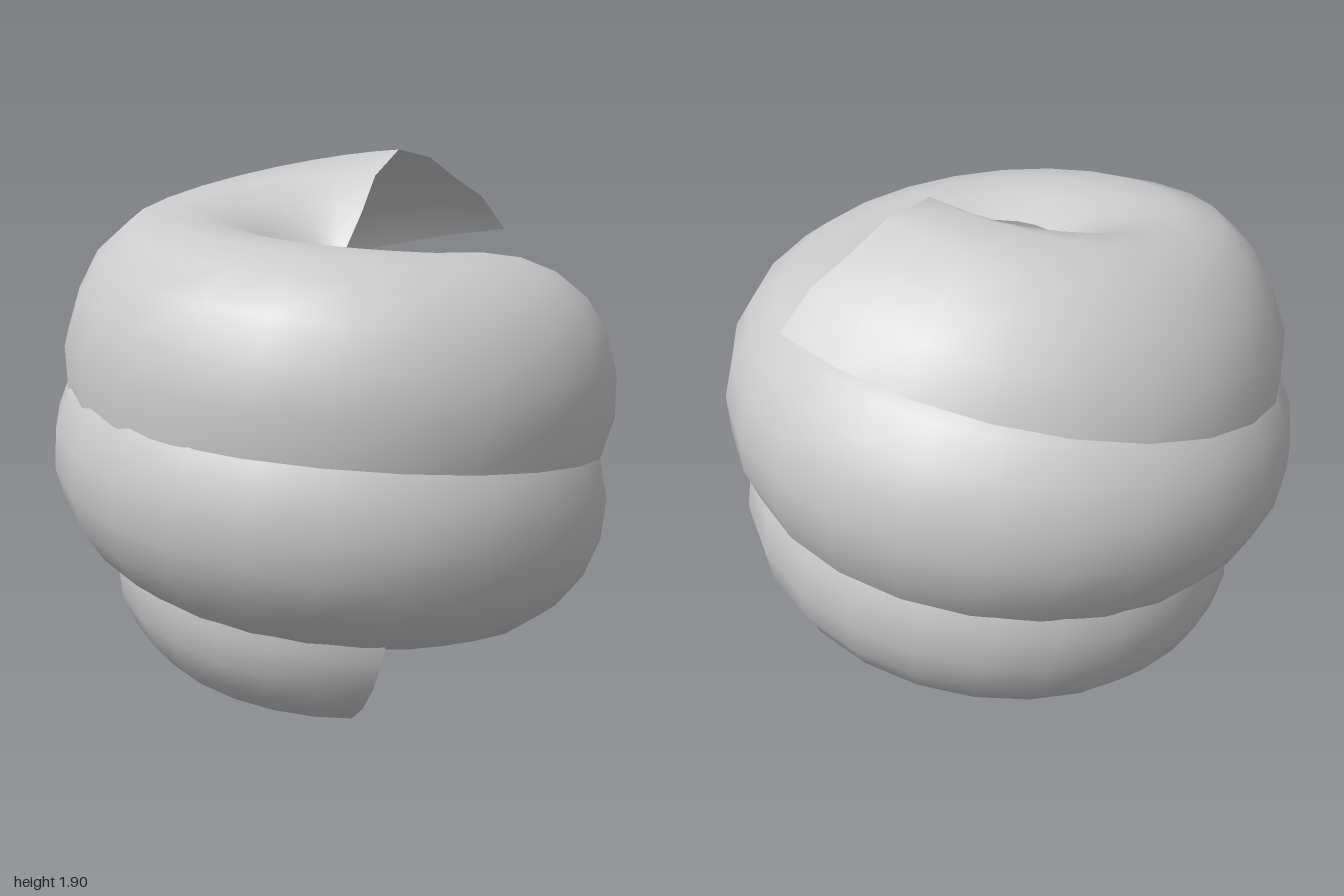
import * as THREE from 'three';

// Keyframes evenly spaced along the coil, from its bottom end to its top end
const centreRadius = [0.315, 0.395, 0.47, 0.52, 0.525, 0.52, 0.51, 0.487, 0.49];
const centreHeight = [0.385, 0.51, 0.645, 0.795, 0.945, 1.08, 1.19, 1.30, 1.435];
// Radius of the arc at its lower/outer edge and at its upper/inner edge
const radiusStart = [0.385, 0.42, 0.45, 0.47, 0.475, 0.485, 0.485, 0.467, 0.48];
const radiusEnd = [0.385, 0.415, 0.45, 0.465, 0.45, 0.43, 0.42, 0.43, 0.465];
// Arc limits in degrees: 0 is outward, 90 is up
const arcStart = [-131, -111, -92, -74, -55, -37, -24, -16, 18];
const arcEnd = [6, 26, 45, 65, 84, 101, 118, 144, 182];

const { degToRad, lerp } = THREE.MathUtils;
const START = degToRad(64.5), END = degToRad(1023.5), TILT = 0.19;
const STEPS = 64, ARC_STEPS = 8;

// Smooth reading of two keyframe lists at once
const track = (a, b) => new THREE.SplineCurve(a.map((v, i) => new THREE.Vector2(v, b[i])));

export function createModel() {
  const centre = track(centreRadius, centreHeight);
  const radii = track(radiusStart, radiusEnd);
  const limits = track(arcStart, arcEnd);
  const positions = [], index = [];

  // Open arc swept along a rising helix, slowly turning about the path
  for (let i = 0; i <= STEPS; i++) {
    const t = i / STEPS;
    const c = centre.getPoint(t), r = radii.getPoint(t), arc = limits.getPoint(t);
    const az = START + (END - START) * t;
    const pinch = 0.14 * t ** 6; // flanks flatten towards the top end
    for (let j = 0; j <= ARC_STEPS; j++) {
      const k = j / ARC_STEPS;
      const a = degToRad(lerp(arc.x, arc.y, k));
      const radius = lerp(r.x, r.y, k) * (1 - pinch * Math.sin(2 * Math.PI * k) ** 2);
      const out = c.x + radius * Math.cos(a), up = radius * Math.sin(a);
      const back = -up * TILT; // section leans square to the climbing path
      positions.push(
        out * Math.cos(az) - back * Math.sin(az),
        c.y + up,
        out * Math.sin(az) + back * Math.cos(az));
      if (i < STEPS && j < ARC_STEPS) {
        const p = i * (ARC_STEPS + 1) + j, q = p + ARC_STEPS + 1;
        index.push(p, p + 1, q, p + 1, q + 1, q);
      }
    }
  }

  const geometry = new THREE.BufferGeometry();
  geometry.setAttribute('position', new THREE.Float32BufferAttribute(positions, 3));
  geometry.setIndex(index);
  geometry.computeVertexNormals();

  const coil = new THREE.Mesh(geometry, new THREE.MeshStandardMaterial({ color: 0xcccccc, side: THREE.DoubleSide }));
  coil.name = 'spiralRibbon';
  const group = new THREE.Group();
  group.name = 'coiledRibbon';
  group.add(coil);
  return group;
}
